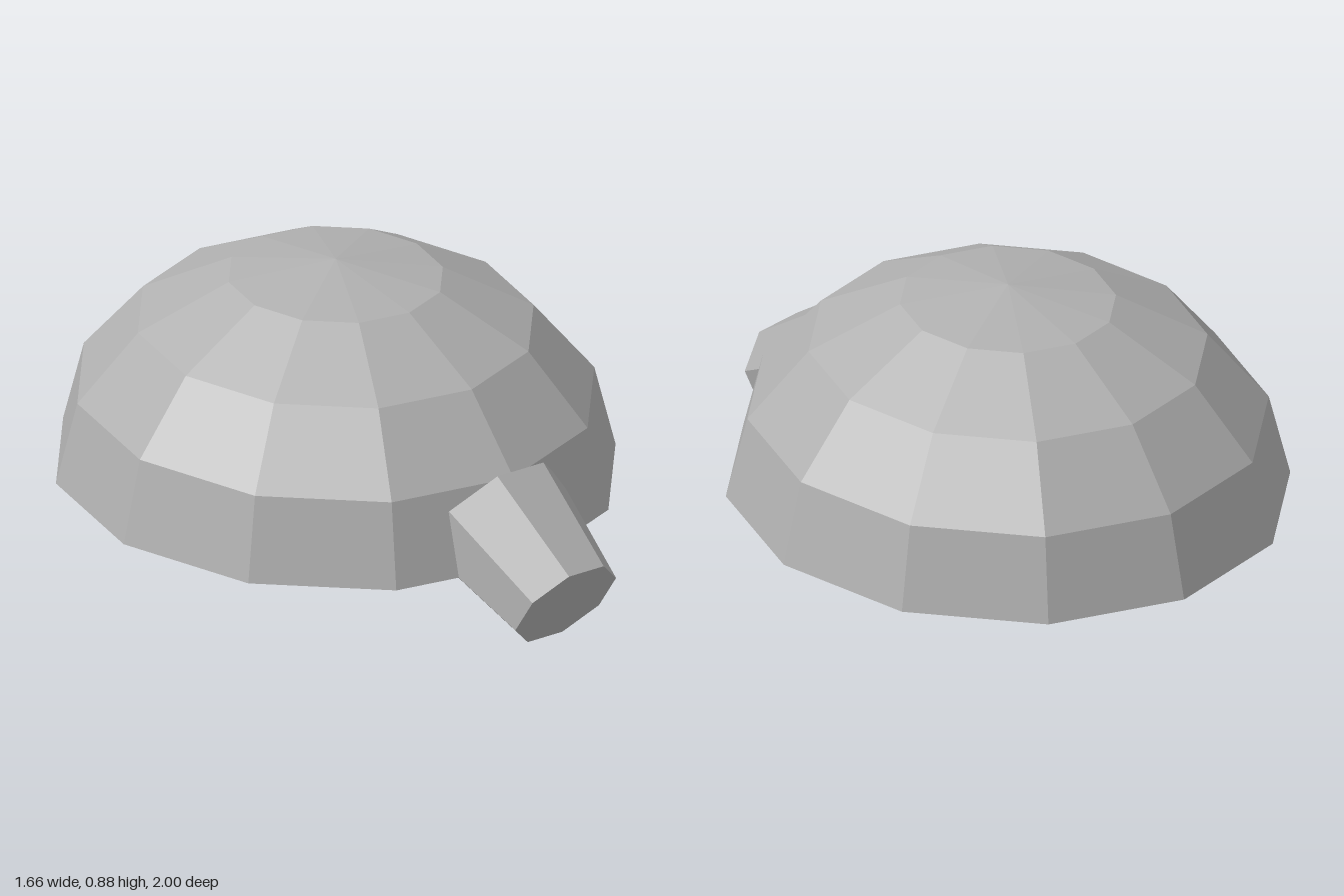
import * as THREE from 'three';

export function createModel() {
  const model = new THREE.Group();
  const grey = new THREE.MeshStandardMaterial({ color: 0xb0b0b0, flatShading: true });
  grey.name = 'grey';

  const addPart = (name, geometry, parent) => {
    const mesh = new THREE.Mesh(geometry, grey);
    mesh.name = name;
    parent.add(mesh);
    return mesh;
  };

  // Domed shell: faceted half ellipsoid closed by a flat underside
  const shell = new THREE.Group();
  shell.name = 'shell';
  shell.position.set(0, 0.2, -0.12);
  shell.scale.set(0.83, 0.68, 0.88);
  model.add(shell);
  addPart('shellDome', new THREE.SphereGeometry(1, 12, 4, 0, Math.PI * 2, 0, Math.PI / 2), shell);
  addPart('shellUnderside', new THREE.CircleGeometry(1, 12).rotateX(Math.PI / 2), shell);

  // Head: flattened eight-sided taper, rolled slightly and tipped down at the front
  const headShape = new THREE.CylinderGeometry(0.187, 0.248, 0.377, 8, 1, false, THREE.MathUtils.degToRad(15));
  headShape.rotateX(Math.PI / 2);
  headShape.scale(1, 0.842, 1);
  const head = addPart('head', headShape, model);
  head.rotation.x = THREE.MathUtils.degToRad(28.2);
  head.position.set(0, 0.219, 0.766);

  return model;
}
